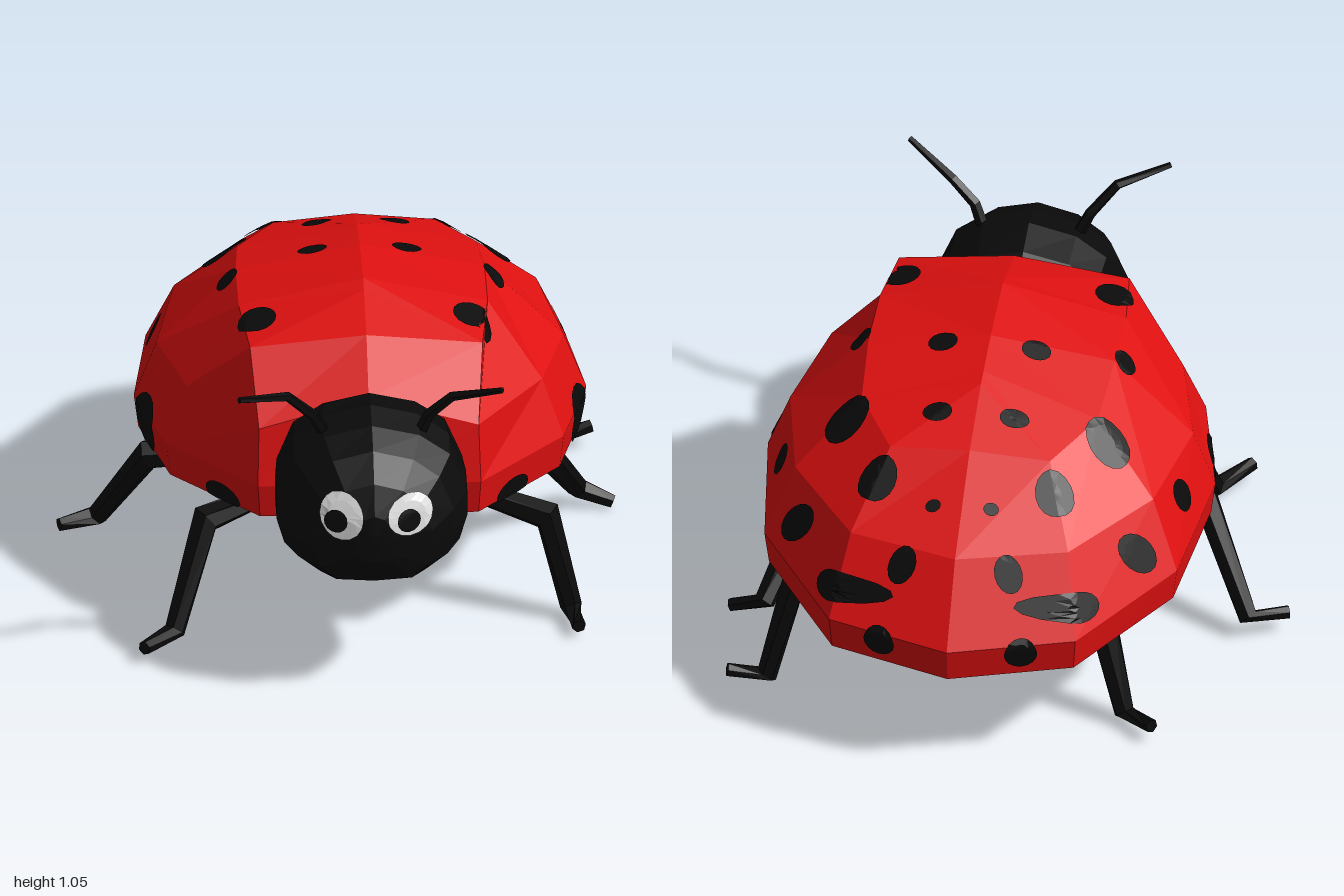
import * as THREE from 'three';

const CX = 0.07; // body midline
const V = (x, y, z) => new THREE.Vector3(x, y, z);

const red = new THREE.MeshStandardMaterial({ color: 0xe01010, flatShading: true, side: THREE.DoubleSide });
red.name = 'shell red';
const black = new THREE.MeshStandardMaterial({ color: 0x0a0a0a, flatShading: true, side: THREE.DoubleSide });
black.name = 'black';
const white = new THREE.MeshStandardMaterial({ color: 0xf0f0f0, flatShading: true, side: THREE.DoubleSide });
white.name = 'eye white';

// Skin a row of closed rings with flat faces and cap both ends
function loft(rings) {
  const pos = [];
  const tri = (a, b, c) => {
    const area = b.clone().sub(a).cross(c.clone().sub(a)).length();
    if (area > 1e-7) for (const p of [a, b, c]) pos.push(p.x, p.y, p.z);
  };
  const n = rings[0].length, last = rings[rings.length - 1];
  for (let i = 0; i + 1 < rings.length; i++) {
    for (let j = 0; j < n; j++) {
      const k = (j + 1) % n;
      tri(rings[i][j], rings[i][k], rings[i + 1][k]);
      tri(rings[i][j], rings[i + 1][k], rings[i + 1][j]);
    }
  }
  for (let j = 1; j + 1 < n; j++) {
    tri(rings[0][0], rings[0][j + 1], rings[0][j]);
    tri(last[0], last[j], last[j + 1]);
  }
  const g = new THREE.BufferGeometry();
  g.setAttribute('position', new THREE.Float32BufferAttribute(pos, 3));
  g.computeVertexNormals();
  return g;
}

// Complete a half ring [dx, y, z] (first and last on the midline) by mirroring
function mirrorRing(half) {
  const a = half.map(([x, y, z]) => V(CX - x, y, z));
  const b = half.slice(1, -1).reverse().map(([x, y, z]) => V(CX + x, y, z));
  return a.concat(b);
}

// Faceted limb through points with a radius at each
function limb(points, radii, sides = 6) {
  const p = points.map((q) => V(...q));
  const rings = p.map((c, i) => {
    const d = p[Math.min(i + 1, p.length - 1)].clone().sub(p[Math.max(i - 1, 0)]).normalize();
    const u = V(0, 0, 1).cross(d).normalize();
    const w = d.clone().cross(u);
    return Array.from({ length: sides }, (_, j) => {
      const t = (j / sides) * Math.PI * 2;
      return c.clone().addScaledVector(u, Math.cos(t) * radii[i]).addScaledVector(w, Math.sin(t) * radii[i]);
    });
  });
  return loft(rings);
}

// Thin oval draped over a mesh by casting rays along dir
function decal(mesh, center, dir, u, v, ru, rv, lift) {
  const ray = new THREE.Raycaster();
  const SEG = 16, RINGS = 3;
  const project = (a, b) => {
    for (let s = 1; s > 0.02; s *= 0.93) {
      const o = center.clone().addScaledVector(u, a * s).addScaledVector(v, b * s).addScaledVector(dir, -3);
      ray.set(o, dir);
      const hit = ray.intersectObject(mesh)[0];
      if (hit) {
        const n = hit.face.normal.clone();
        if (n.dot(dir) > 0) n.negate();
        return hit.point.clone().addScaledVector(n, lift);
      }
    }
    return center.clone();
  };
  const rings = [];
  for (let r = RINGS; r >= 0; r--) {
    rings.push(Array.from({ length: SEG }, (_, j) => {
      const t = (j / SEG) * Math.PI * 2, k = r / RINGS;
      return project(Math.cos(t) * ru * k, Math.sin(t) * rv * k);
    }));
  }
  // open surface: drop the outer cap by doubling the skin back to the centre
  return loft([rings[RINGS], ...rings]);
}

export function createModel() {
  const root = new THREE.Group();
  const add = (name, geo, mat) => {
    const m = new THREE.Mesh(geo, mat);
    m.name = name;
    root.add(m);
    return m;
  };

  // Shell: tilted rim, wall, two shoulder rings and a central ridge
  const rim = [[0, -1], [0.385, -0.89], [0.645, -0.51], [0.7, -0.08], [0.615, 0.28], [0.345, 0.6], [0, 0.61]];
  const rimY = (z) => 0.43 + 0.066 * z;
  const shell = add('shell', loft([
    rim.map(([x, z]) => [x * 0.98, rimY(z), z * 0.985]),
    rim.map(([x, z]) => [x, rimY(z) + 0.11, z]),
    [[0, 0.71, -0.83], [0.34, 0.71, -0.74], [0.56, 0.72, -0.44], [0.63, 0.72, -0.08],
      [0.55, 0.74, 0.24], [0.34, 0.76, 0.56], [0, 0.85, 0.54]],
    [[0, 0.91, -0.53], [0.25, 0.89, -0.52], [0.37, 0.92, -0.32], [0.385, 0.97, -0.08],
      [0.385, 0.97, 0.15], [0.36, 0.95, 0.38], [0, 0.99, 0.39]],
    [[0, 1, -0.3], [0, 1, -0.3], [0, 1.01, -0.25], [0, 1.04, -0.1],
      [0, 1.06, 0.15], [0, 1.045, 0.2], [0, 1.045, 0.2]],
  ].map(mirrorRing)), red);

  // Head: one cross-section scaled along z [z, half width, bottom, top]
  const section = [[0, 1], [0.5, 0.85], [0.82, 0.56], [1, 0.02], [1, -0.35], [0.92, -0.7], [0.65, -0.95], [0, -1]];
  const head = add('head', loft([
    [0.5, 0.22, 0.46, 0.84], [0.56, 0.285, 0.44, 0.88], [0.68, 0.295, 0.42, 0.905], [0.78, 0.295, 0.41, 0.885],
    [0.87, 0.25, 0.415, 0.845], [0.945, 0.18, 0.43, 0.77], [0.99, 0.06, 0.52, 0.68], [1, 0.01, 0.58, 0.62],
  ].map(([z, w, lo, hi]) => mirrorRing(section.map(([x, y]) => [x * w, (lo + hi) / 2 + y * (hi - lo) / 2, z])))), black);

  root.updateMatrixWorld(true);
  const X = V(1, 0, 0), Y = V(0, 1, 0), Z = V(0, 0, 1);
  const down = V(0, -1, 0), back = V(0, 0, -1);

  for (const s of [-1, 1]) {
    // Spots on top [dx, z, rx, rz]
    for (const [x, z, rx, rz] of [
      [0.165, -0.82, 0.045, 0.034], [0.09, -0.68, 0.024, 0.018], [0.275, -0.6, 0.06, 0.062],
      [0.405, -0.37, 0.068, 0.068], [0.12, -0.4, 0.046, 0.034], [0.145, -0.12, 0.046, 0.038],
      [0.41, -0.055, 0.03, 0.045], [0.33, 0.25, 0.058, 0.062],
    ]) add('topSpot', decal(shell, V(CX + s * x, 0, z), down, X, Z, rx, rz, 0.007), black);
    // Spots on the flanks [z, y, rz, ry]
    for (const [z, y, rz, ry] of [
      [-0.3, 0.64, 0.05, 0.05], [-0.58, 0.61, 0.05, 0.065], [-0.82, 0.56, 0.06, 0.045],
      [0.05, 0.51, 0.1, 0.09], [0.47, 0.48, 0.06, 0.045],
    ]) add('sideSpot', decal(shell, V(0, y, z), V(-s, 0, 0), Z, Y, rz, ry, 0.007), black);
    // Spot on the rear wall
    add('rearSpot', decal(shell, V(CX + s * 0.22, 0.45, 0), Z, X, Y, 0.05, 0.05, 0.007), black);
  }

  // Eyes
  for (const [x, rx, ry, px] of [[-0.03, 0.066, 0.075, -0.047], [0.18, 0.07, 0.066, 0.174]]) {
    add('eyeWhite', decal(head, V(x, 0.67, 0), back, X, Y, rx, ry, 0.005), white);
    add('pupil', decal(head, V(px, 0.655, 0), back, X, Y, 0.036, 0.036, 0.01), black);
  }

  // Legs: hip, knee, ankle, toe
  const legs = {
    frontRightLeg: [[-0.05, 0.44, 0.24], [-0.43, 0.37, 0.42], [-0.53, 0.05, 0.55], [-0.63, 0.06, 0.68]],
    frontLeftLeg: [[0.19, 0.44, 0.24], [0.63, 0.35, 0.41], [0.7, 0.05, 0.44], [0.72, 0.045, 0.57]],
    middleRightLeg: [[-0.03, 0.43, 0.08], [-0.59, 0.38, 0.02], [-0.74, 0.08, -0.14], [-0.86, 0.075, -0.09]],
    middleLeftLeg: [[0.17, 0.43, 0.08], [0.63, 0.35, -0.02], [0.75, 0.07, -0.27], [0.86, 0.028, -0.25]],
    rearRightLeg: [[-0.03, 0.4, -0.22], [-0.35, 0.35, -0.57], [-0.43, 0.045, -0.64], [-0.53, 0.065, -0.73]],
    rearLeftLeg: [[0.17, 0.4, -0.22], [0.62, 0.35, -0.57], [0.69, 0.05, -0.62], [0.81, 0.075, -0.65]],
  };
  for (const [name, pts] of Object.entries(legs)) add(name, limb(pts, [0.025, 0.05, 0.034, 0.022]), black);

  // Antennae
  add('rightAntenna', limb([[-0.07, 0.83, 0.73], [-0.11, 0.91, 0.75], [-0.19, 1, 0.79], [-0.345, 1.035, 0.87]],
    [0.02, 0.018, 0.016, 0.01], 5), black);
  add('leftAntenna', limb([[0.22, 0.83, 0.73], [0.25, 0.91, 0.75], [0.32, 0.98, 0.77], [0.47, 1.05, 0.865]],
    [0.02, 0.018, 0.016, 0.01], 5), black);

  return root;
}
